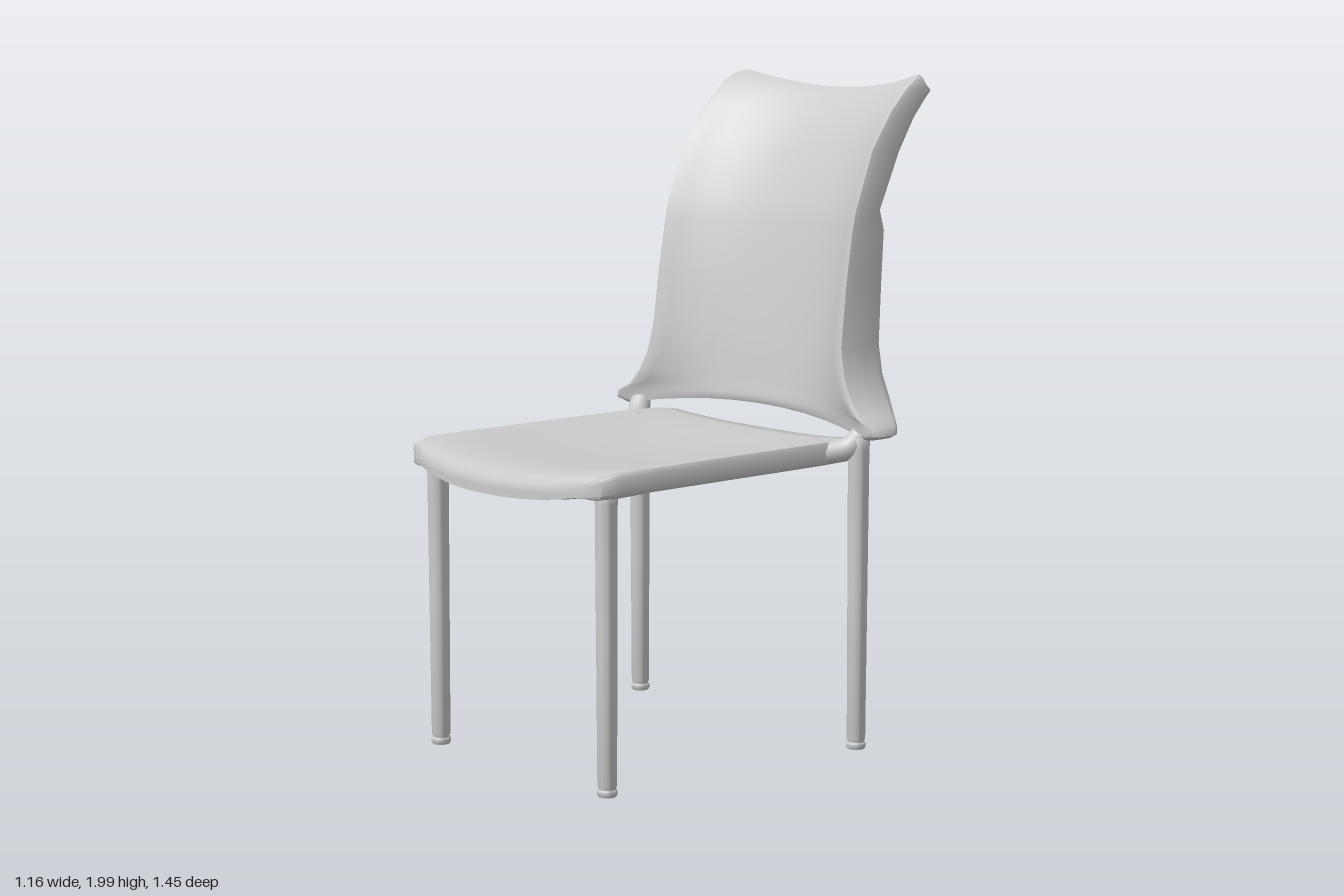
import * as THREE from 'three';
import { toCreasedNormals, mergeVertices } from 'three/addons/utils/BufferGeometryUtils.js';

const lerp = THREE.MathUtils.lerp;
const grey = new THREE.MeshStandardMaterial({ color: 0xcccccc });

// Closed cross-section of a dished shell with a rolled rim.
// fe, fc: face depth at edge and centre; re: rim depth; bc: depth of the rear face at the centre.
// Each point: s (-1..1 across), d (depth), k (0 on the face, 1 on the rear)
function section({ fe, fc, re, bc }) {
  const half = [];
  const inset = lerp(re, fe, 0.25);
  for (const s of [0, 0.2, 0.4, 0.6, 0.75, 0.87, 0.95])
    half.push({ s, d: lerp(fc, fe, s ** 2.5), k: 0 });
  for (const [s, k] of [[0.985, 0.08], [1, 0.25], [1, 0.8], [0.985, 0.94], [0.96, 1], [0.91, 1]])
    half.push({ s, d: lerp(fe, re, k), k });
  for (const s of [0.885, 0.75, 0.6, 0.4, 0.2, 0])
    half.push({ s, d: lerp(bc, inset, s ** 2.5), k: 1 });
  const mirrored = half.slice(1, -1).reverse().map((p) => ({ ...p, s: -p.s }));
  return [...half, ...mirrored];
}

// Joins the sections of all rows; the end rows are closed along their middle line
function shell(rows, place) {
  const rings = rows.map((r) => section(r).map((p) => place(r, p)));
  const cap = (r) => section(r).map((p) => {
    const t = Math.abs(p.s) ** 2.5;
    const d = (lerp(r.fc, r.fe, t) + lerp(r.bc, r.re, t)) / 2;
    return place(r, { s: p.s, d, k: 0.5 });
  });
  rings.unshift(cap(rows[0]));
  rings.push(cap(rows[rows.length - 1]));
  const n = rings[0].length, index = [];
  for (let i = 0; i < rings.length - 1; i++)
    for (let j = 0; j < n; j++) {
      const a = i * n + j, b = i * n + (j + 1) % n;
      index.push(a, b, b + n, a, b + n, a + n);
    }
  const geo = new THREE.BufferGeometry();
  geo.setAttribute('position', new THREE.Float32BufferAttribute(rings.flat(2), 3));
  geo.setIndex(index);
  return toCreasedNormals(mergeVertices(geo, 1e-4), 0.95);
}

// Seat rows from front to rear: z, half width, edge top, centre top, rim bottom, centre underside, bow
const seatRows = [
  [0.66, 0.4, 0.895, 0.875, 0.86, 0.83, 0.06],
  [0.645, 0.43, 0.92, 0.892, 0.855, 0.83, 0.055],
  [0.58, 0.445, 0.935, 0.905, 0.855, 0.853, 0.04],
  [0.45, 0.45, 0.936, 0.897, 0.86, 0.85, 0.02],
  [0.25, 0.45, 0.936, 0.885, 0.86, 0.84, 0],
  [0, 0.45, 0.936, 0.88, 0.86, 0.835, 0],
  [-0.2, 0.45, 0.936, 0.89, 0.86, 0.845, 0],
  [-0.33, 0.44, 0.933, 0.9, 0.86, 0.85, -0.03],
  [-0.375, 0.42, 0.925, 0.9, 0.855, 0.83, -0.04],
  [-0.39, 0.4, 0.905, 0.88, 0.86, 0.83, -0.04],
].map(([z, w, fe, fc, re, bc, bow]) => ({ z, w, fe, fc, re, bc, bow }));

// Backrest rows upward: y, half width, edge front, centre front, rim rear, centre rear, centre lift, rear drop
const backRows = [
  [0.937, 0.54, -0.28, -0.35, -0.4, -0.46, 0.05, 0],
  [0.952, 0.58, -0.265, -0.345, -0.385, -0.48, 0.045, 0],
  [0.975, 0.575, -0.265, -0.345, -0.39, -0.475, 0.035, 0],
  [1.0, 0.525, -0.265, -0.35, -0.43, -0.45, 0.03, 0],
  [1.05, 0.48, -0.268, -0.357, -0.455, -0.46, 0.02, 0],
  [1.11, 0.447, -0.273, -0.365, -0.46, -0.475, 0.01, 0],
  [1.2, 0.425, -0.28, -0.38, -0.465, -0.487, 0, 0],
  [1.38, 0.422, -0.303, -0.42, -0.475, -0.51, 0, 0],
  [1.54, 0.42, -0.33, -0.46, -0.485, -0.54, 0, 0],
  [1.6, 0.42, -0.347, -0.48, -0.465, -0.56, 0, 0],
  [1.78, 0.415, -0.42, -0.555, -0.55, -0.62, -0.01, 0.01],
  [1.89, 0.412, -0.5, -0.615, -0.615, -0.66, -0.025, 0.02],
  [1.96, 0.41, -0.57, -0.665, -0.665, -0.695, -0.04, 0.035],
  [1.99, 0.405, -0.62, -0.69, -0.69, -0.72, -0.047, 0.045],
  [2.0, 0.385, -0.655, -0.705, -0.695, -0.728, -0.052, 0.05],
].map(([y, w, fe, fc, re, bc, lift, drop]) => ({ y, w, fe, fc, re, bc, lift, drop }));

// Leg with a slight taper, a groove and a round foot
function legGeometry(height) {
  const profile = [
    [0, 0], [0.026, 0], [0.029, 0.005], [0.029, 0.017], [0.025, 0.021], [0.025, 0.025],
    [0.028, 0.03], [0.03, height * 0.5], [0.032, height - 0.05], [0.034, height - 0.015], [0.022, height], [0, height],
  ].map(([r, y]) => new THREE.Vector2(r, y));
  return toCreasedNormals(new THREE.LatheGeometry(profile, 20), 0.8);
}

export function createModel() {
  const model = new THREE.Group();
  const add = (name, geometry, x = 0, z = 0) => {
    const mesh = new THREE.Mesh(geometry, grey);
    mesh.name = name;
    mesh.position.set(x, 0, z);
    model.add(mesh);
  };

  add('seat', shell(seatRows, (r, p) => [r.w * p.s, p.d, r.z + r.bow * (1 - p.s * p.s)]));
  add('backrest', shell(backRows, (r, p) => [
    r.w * p.s, r.y + r.lift * (1 - p.s * p.s) - r.drop * p.k, p.d,
  ]));

  for (const [side, m] of [['left', 1], ['right', -1]]) {
    add(side + 'FrontLeg', legGeometry(0.885), m * 0.385, 0.59);
    add(side + 'BackLeg', legGeometry(0.955), m * 0.49, -0.3);

    // Arm joining the seat corner to the back leg and the backrest
    const path = new THREE.CatmullRomCurve3([
      [0.4, 0.895, -0.2], [0.435, 0.898, -0.235], [0.47, 0.91, -0.275], [0.492, 0.945, -0.305],
    ].map(([x, y, z]) => new THREE.Vector3(m * x, y, z)));
    add(side + 'SeatArm', new THREE.TubeGeometry(path, 12, 0.033, 14));
  }
  return model;
}
